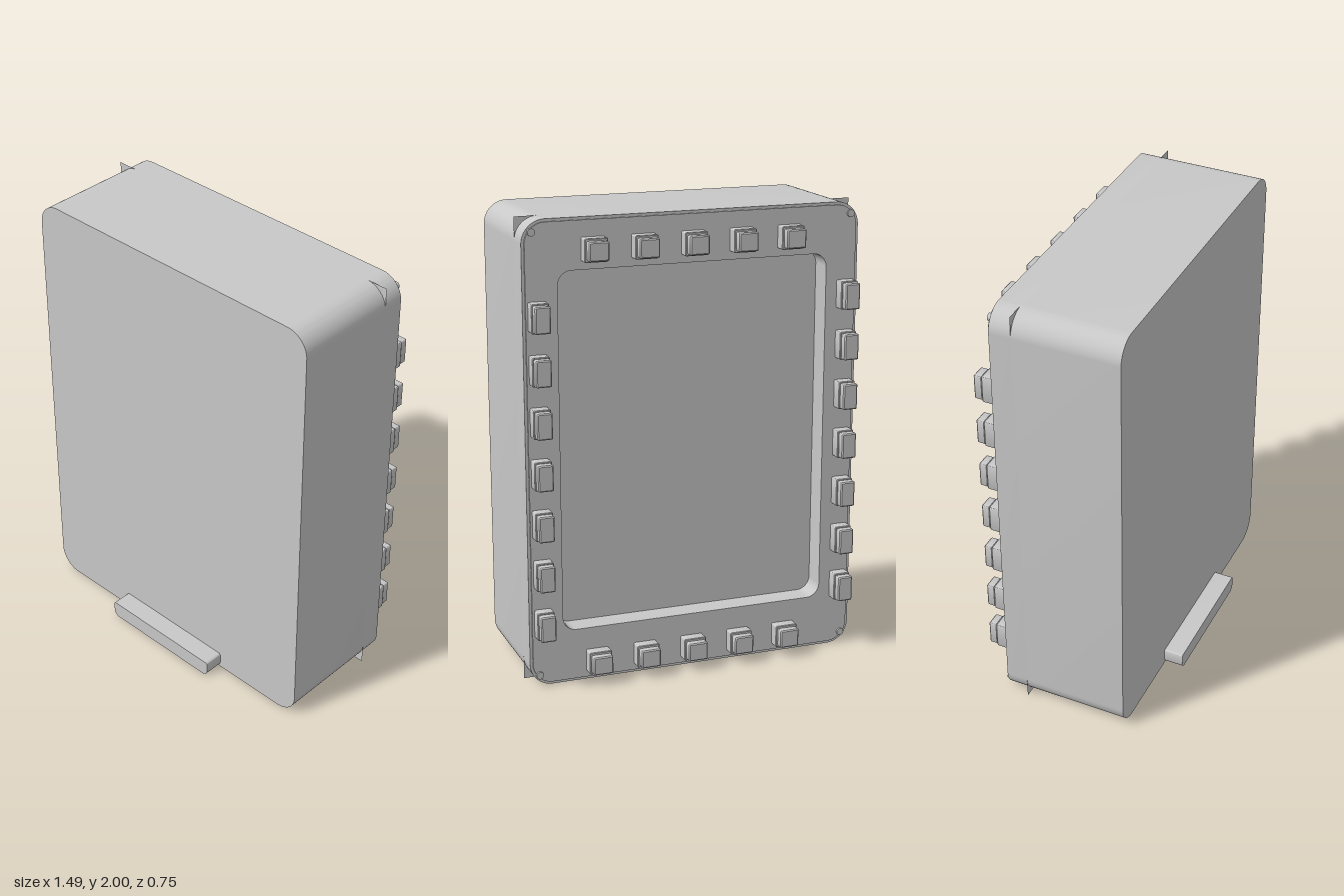
import * as THREE from 'three';
import { toCreasedNormals } from 'three/addons/utils/BufferGeometryUtils.js';

const grey = new THREE.MeshStandardMaterial({ color: 0xc8c8c8, side: THREE.DoubleSide });
grey.name = 'housing grey';

// Rounded rectangle centred on (cx, cy); rt and rb are the top and bottom corner radii
function trace(path, w, h, rt, rb = rt, cx = 0, cy = 0) {
  const l = cx - w / 2, r = cx + w / 2, b = cy - h / 2, t = cy + h / 2;
  const q = Math.PI / 2;
  path.moveTo(l + rb, b);
  path.lineTo(r - rb, b);
  path.absarc(r - rb, b + rb, rb, -q, 0, false);
  path.lineTo(r, t - rt);
  path.absarc(r - rt, t - rt, rt, 0, q, false);
  path.lineTo(l + rt, t);
  path.absarc(l + rt, t - rt, rt, q, 2 * q, false);
  path.lineTo(l, b + rb);
  path.absarc(l + rb, b + rb, rb, 2 * q, 3 * q, false);
  return path;
}

// Slab between z0 and z1, with optional bevel kept inside its size
function slab(name, shape, z0, z1, bevel = 0) {
  const geo = new THREE.ExtrudeGeometry(shape, {
    depth: z1 - z0 - 2 * bevel, curveSegments: 10, bevelEnabled: bevel > 0,
    bevelSize: bevel, bevelThickness: bevel, bevelOffset: -bevel, bevelSegments: 1,
  });
  geo.translate(0, 0, z0 + bevel);
  const mesh = new THREE.Mesh(toCreasedNormals(geo, 0.5), grey);
  mesh.name = name;
  return mesh;
}

// Push button: wide base and slightly smaller bevelled cap
function button(x, y, w, h, capW, capH) {
  const g = new THREE.Group();
  g.name = 'button';
  g.add(
    slab('buttonBase', trace(new THREE.Shape(), w, h, 0.006), -0.336, -0.28, 0.003),
    slab('buttonCap', trace(new THREE.Shape(), capW, capH, 0.006), -0.374, -0.335, 0.005),
  );
  g.position.set(x, y, 0);
  return g;
}

export function createModel() {
  const model = new THREE.Group();
  model.name = 'displayUnit';
  const W = 1.49, H = 2, screenZ = -0.182;
  const outline = (inset) => trace(new THREE.Shape(), W - 2 * inset, H - 2 * inset, 0.1 - inset, 0.1 - inset, 0, 1);
  const framed = (inset) => {
    const s = outline(inset);
    s.holes.push(trace(new THREE.Path(), 1.195, 1.55, 0.06, 0.06, 0, 1.01));
    return s;
  };

  // Housing, with the screen sunk behind the rim and bezel
  model.add(
    slab('housing', outline(0), screenZ + 0.003, 0.285),
    slab('housingRim', framed(0), -0.279, screenZ + 0.003),
    slab('bezel', framed(0.012), -0.286, -0.279),
  );

  // Flat square-cornered screen sheet whose corners show past the housing
  const screen = new THREE.Mesh(new THREE.PlaneGeometry(W, H), grey);
  screen.name = 'screen';
  screen.rotation.y = Math.PI;
  screen.position.set(0, 1, screenZ);
  model.add(screen);

  // Ledge on the lower front
  model.add(slab('frontLedge', trace(new THREE.Shape(), 0.598, 0.076, 0.01, 0.028, 0, 0.038), 0.28, 0.373));

  // Button rows above and below the screen
  for (let i = 0; i < 5; i++) {
    const x = 0.013 + (i - 2) * 0.2165;
    for (const y of [1.869, 0.088]) model.add(button(x, y, 0.1, 0.098, 0.086, 0.08));
  }

  // Button columns and corner screws on each side
  for (const side of [-1, 1]) {
    for (let i = 0; i < 7; i++) {
      model.add(button(side * 0.686, 0.286 + i * 0.22, 0.075, 0.122, 0.066, 0.112));
    }
    for (const y of [0.05, 1.95]) {
      const screw = new THREE.Mesh(new THREE.CylinderGeometry(0.016, 0.016, 0.014, 20), grey);
      screw.name = 'screw';
      screw.rotation.x = Math.PI / 2;
      screw.position.set(side * 0.705, y, -0.288);
      model.add(screw);
    }
  }
  return model;
}
